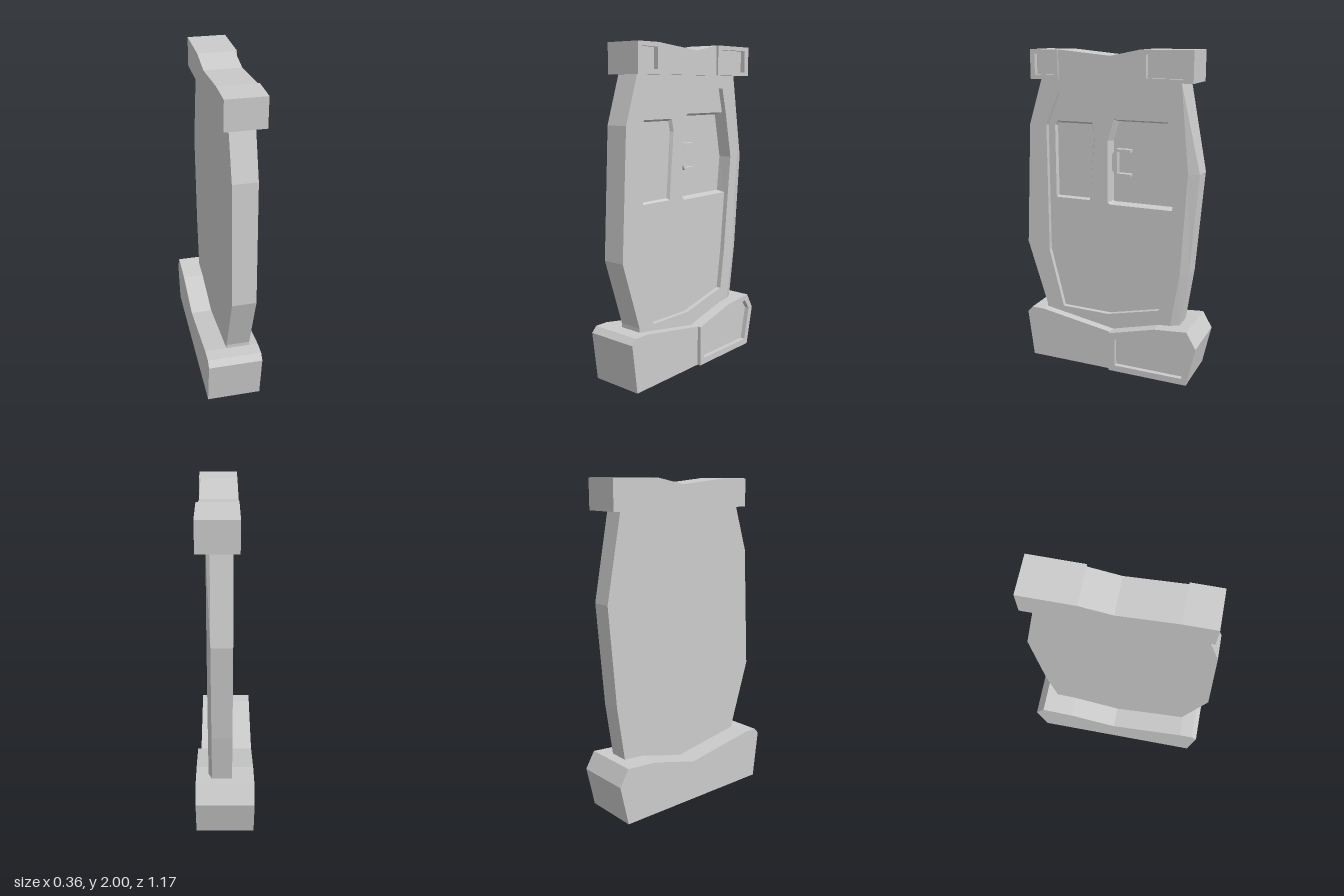
import * as THREE from 'three';

// Outlines are [u, y] pairs seen from the +x side, counter-clockwise (u = -z).
// A third number on a point overrides the section's x.
const at = (p, x) => [p[2] ?? x, p[1], -p[0]];

// Skin strip from one outline to the next
function strip(out, a, xa, b, xb) {
  a.forEach((p, i) => {
    const j = (i + 1) % a.length;
    const A = at(p, xa), B = at(a[j], xa), C = at(b[j], xb), D = at(b[i], xb);
    out.push(...A, ...B, ...C, ...A, ...C, ...D);
  });
}

// Flat face with optional holes, facing +x (dir 1) or -x (dir -1)
function cap(out, outline, x, holes = [], dir = 1) {
  const v = (l) => l.map((p) => new THREE.Vector2(p[0], p[1]));
  const pts = [outline, ...holes].flat();
  for (const [a, b, c] of THREE.ShapeUtils.triangulateShape(v(outline), holes.map(v))) {
    const [A, B, C] = [pts[a], pts[b], pts[c]];
    const area = (B[0] - A[0]) * (C[1] - A[1]) - (B[1] - A[1]) * (C[0] - A[0]);
    const tri = area * dir > 0 ? [A, B, C] : [A, C, B];
    tri.forEach((p) => out.push(...at(p, x)));
  }
}

function makeMesh(name, out) {
  const g = new THREE.BufferGeometry();
  g.setAttribute('position', new THREE.Float32BufferAttribute(out, 3));
  g.computeVertexNormals();
  const m = new THREE.Mesh(g, new THREE.MeshStandardMaterial({ color: 0xcccccc, flatShading: true }));
  m.name = name;
  return m;
}

// Solid slab between x0 and x1, optionally with a pocket sunk into its +x face
function slab(name, outline, x0, x1, pocket, depth = 0.03) {
  const out = [];
  cap(out, outline, x0, [], -1);
  strip(out, outline, x0, outline, x1);
  cap(out, outline, x1, pocket ? [pocket] : []);
  if (pocket) {
    strip(out, pocket, x1, pocket, x1 - depth);
    cap(out, pocket, x1 - depth);
  }
  return makeMesh(name, out);
}

const rect = (u0, y0, u1, y1) => [[u0, y0], [u1, y0], [u1, y1], [u0, y1]];

function doorBody() {
  const out = [];
  const back = -0.045, face = 0.1, panel = 0.07, glass = 0.01;
  const front = [[-0.45, 1.84], [-0.46, 1.82], [-0.55, 1.54], [-0.59, 0.77], [-0.46, 0.36], [-0.46, 0.2]];
  const edge = [[0.43, 0.2], [0.45, 0.34], [0.5, 0.68], [0.55, 1.3], [0.45, 1.82], [0.445, 1.84]];
  const outer = [...edge, ...front];
  // rear edge is chamfered on the panel side
  const chamferLow = [...edge.map(([u, y]) => [u, y, 0.078]), ...front];
  const rim = [[0.37, 0.2], [0.395, 0.34], [0.45, 0.68], [0.485, 1.3], [0.435, 1.82], [0.43, 1.84], ...front];
  const recess = [
    [-0.34, 0.355], [-0.02, 0.35], [0.32, 0.43], [0.355, 0.68], [0.392, 1.065], [0.415, 1.3],
    [0.357, 1.59], [0.32, 1.74], [-0.35, 1.74], [-0.435, 1.54], [-0.435, 0.73],
  ];
  cap(out, outer, back, [], -1);
  strip(out, outer, back, chamferLow, face);
  strip(out, chamferLow, face, rim, face);
  cap(out, rim, face, [recess]);
  strip(out, recess, face, recess, panel);

  // rear window opens into the recess edge
  const rearWin = [[0.392, 1.065], [0.415, 1.3], [0.357, 1.59], [0.005, 1.59], [-0.035, 1.46], [-0.035, 1.075], [-0.02, 1.065]];
  const rearIn = [[0.392, 1.075], [0.415, 1.3], [0.36, 1.575], [0.015, 1.575], [-0.02, 1.455], [-0.02, 1.085], [-0.015, 1.075]];
  // front window is a shallow bevelled pocket
  const frontWin = [[-0.39, 1.08], [-0.155, 1.08], [-0.12, 1.49], [-0.135, 1.565], [-0.375, 1.565], [-0.39, 1.54]];
  const frontIn = [[-0.38, 1.09], [-0.163, 1.09], [-0.131, 1.49], [-0.145, 1.553], [-0.369, 1.553], [-0.38, 1.535]];
  const floor = [
    ...recess.slice(0, 4), rearWin[0], ...rearWin.slice(2).reverse(), ...recess.slice(7),
  ];
  // order of the notch: along the sill, up the pillar, back along the header
  floor.splice(4, 6, rearWin[0], rearWin[6], rearWin[5], rearWin[4], rearWin[3], rearWin[2]);
  cap(out, floor, panel, [frontWin]);
  strip(out, rearWin, panel, rearIn, glass);
  cap(out, rearIn, glass);
  strip(out, frontWin, panel, frontIn, 0.05);
  cap(out, frontIn, 0.05);
  return makeMesh('doorBody', out);
}

export function createModel() {
  const model = new THREE.Group();
  model.add(doorBody());

  // C-shaped handle in the rear window
  model.add(slab('handle', [
    [-0.015, 1.28], [0.01, 1.245], [0.105, 1.245], [0.105, 1.26], [0.018, 1.26],
    [0.018, 1.393], [0.105, 1.393], [0.105, 1.41], [0.01, 1.41], [-0.015, 1.375],
  ], 0.005, 0.05));

  // Lintel with a raised, pocketed block at each end
  model.add(slab('lintel', [
    [-0.505, 1.82], [0.52, 1.82], [0.52, 2], [0.2, 2], [0.015, 1.963], [-0.32, 1.995], [-0.505, 1.995],
  ], -0.08, 0.12));
  model.add(slab('lintelMiddle', [
    [-0.32, 1.82], [0.2, 1.82], [0.2, 2], [0.015, 1.963], [-0.32, 1.995],
  ], 0.12, 0.142));
  model.add(slab('lintelFrontBlock', rect(-0.505, 1.82, -0.32, 1.995), 0.12, 0.152, rect(-0.475, 1.847, -0.345, 1.97)));
  model.add(slab('lintelRearBlock', rect(0.2, 1.82, 0.52, 2), 0.12, 0.155, rect(0.24, 1.842, 0.48, 1.975)));

  // Sill base, thicker and pocketed towards the rear
  const rearTop = [[0.53, 0], [0.585, 0.25], [0.525, 0.352], [0.32, 0.335], [0.015, 0.255]];
  model.add(slab('base', [
    [-0.54, 0], ...rearTop, [-0.46, 0.335], [-0.545, 0.335], [-0.578, 0.3],
  ], -0.18, 0.14));
  model.add(slab('baseFrontFace', [
    [-0.54, 0], [0.015, 0], [0.015, 0.255], [-0.46, 0.335], [-0.545, 0.335], [-0.578, 0.3],
  ], 0.14, 0.155));
  model.add(slab('baseRearFace', [[0.015, 0], ...rearTop], 0.14, 0.177, [
    [0.055, 0.04], [0.5, 0.04], [0.545, 0.25], [0.5, 0.315], [0.335, 0.3], [0.055, 0.22],
  ]));
  return model;
}
